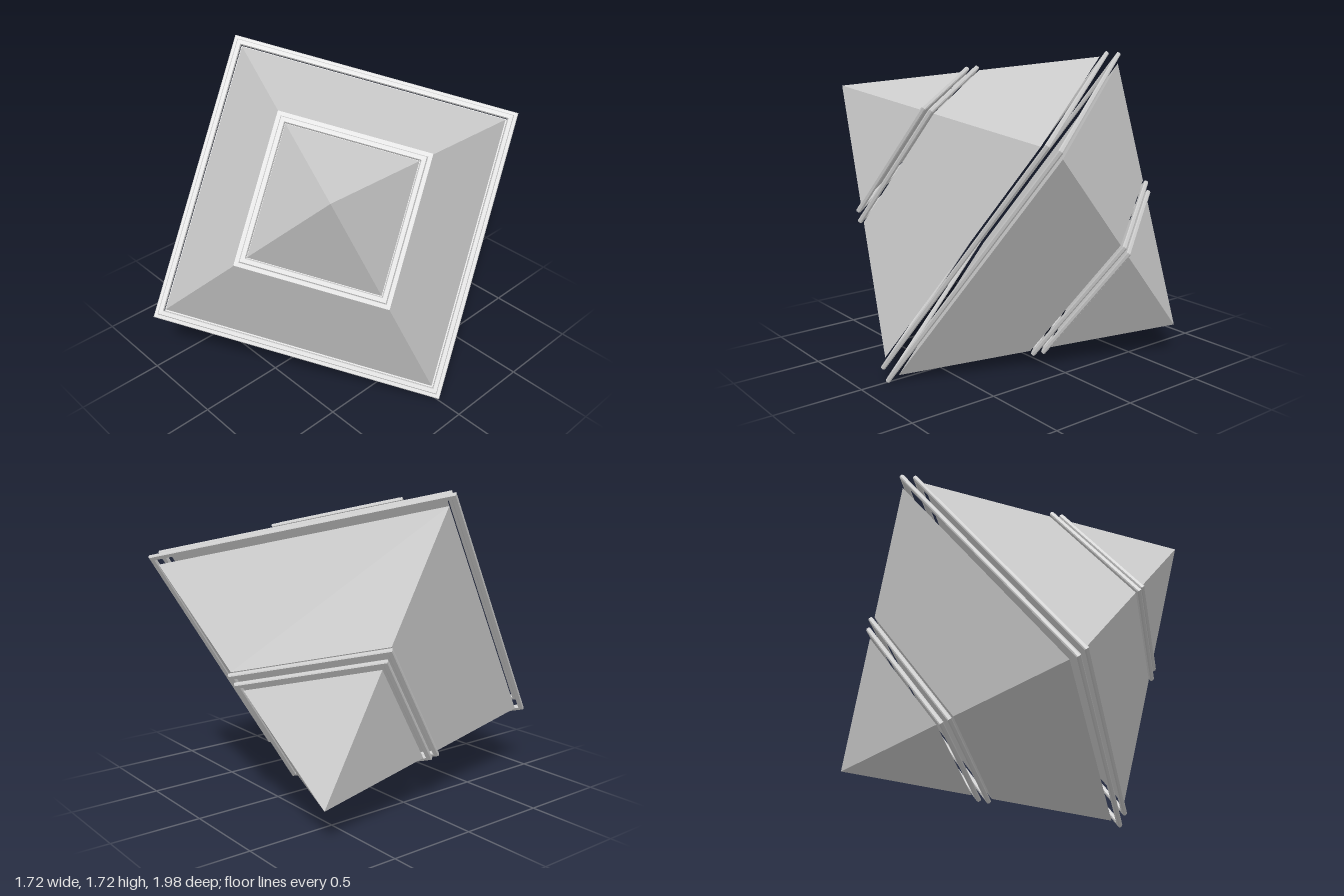
import * as THREE from 'three';

const R = 1.18; // corner radius and half height of the whole octahedron
const CENTRE_Y = 0.875;

export function createModel() {
  const model = new THREE.Group();
  const solid = new THREE.Group();
  solid.name = 'slicedOctahedron';
  model.add(solid);

  const material = new THREE.MeshStandardMaterial({ color: 0xcccccc, flatShading: true });
  const radiusAt = (t) => R - Math.abs(t);

  const add = (name, geometry, t) => {
    const mesh = new THREE.Mesh(geometry, material);
    mesh.name = name;
    mesh.position.y = t;
    solid.add(mesh);
  };

  // Four-sided slices of the octahedron, separated by open slits
  const slices = [
    ['upperTip', 0.685, R],
    ['upperBody', 0.075, 0.61],
    ['lowerBody', -0.565, -0.04],
    ['lowerTip', -R, -0.65],
  ];
  for (const [name, from, to] of slices) {
    const geometry = new THREE.CylinderGeometry(radiusAt(to), radiusAt(from), to - from, 4);
    add(name, geometry, (from + to) / 2);
  }

  // Thin square frames floating in pairs in the slits
  const frame = (outer) => {
    const w = 0.042, h = 0.013, c = 0.006;
    const section = [
      [outer - c, -h], [outer, -h + c], [outer, h - c], [outer - c, h],
      [outer - w + c, h], [outer - w, h - c], [outer - w, -h + c], [outer - w + c, -h],
      [outer - c, -h],
    ].map(([x, y]) => new THREE.Vector2(x, y));
    return new THREE.LatheGeometry(section, 4);
  };
  const frames = [
    ['upperFrame', 0.672], ['upperFrame', 0.63],
    ['middleFrame', 0.052], ['middleFrame', -0.01],
    ['lowerFrame', -0.588], ['lowerFrame', -0.63],
  ];
  for (const [name, t] of frames) add(name, frame(radiusAt(t) + 0.035), t);

  // Tilt the axis from tip to tip onto the (1, 1, 1) diagonal
  const x = new THREE.Vector3(1, -1, 0).normalize();
  const y = new THREE.Vector3(1, 1, 1).normalize();
  const z = new THREE.Vector3().crossVectors(x, y);
  solid.quaternion.setFromRotationMatrix(new THREE.Matrix4().makeBasis(x, y, z));
  solid.position.y = CENTRE_Y;
  return model;
}
